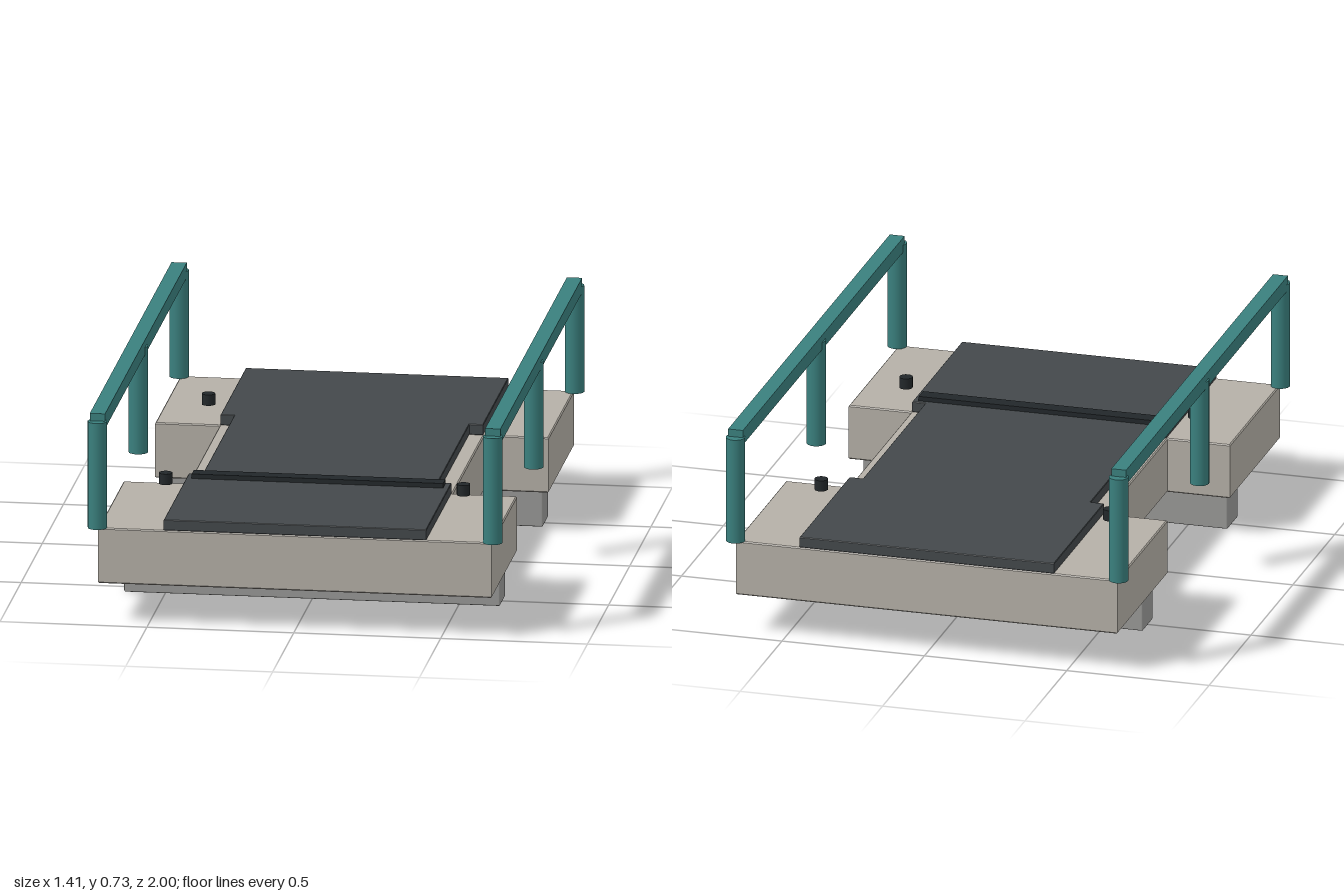
import * as THREE from 'three';
import { RoundedBoxGeometry } from 'three/addons/geometries/RoundedBoxGeometry.js';

const paint = (color) => new THREE.MeshStandardMaterial({ color });
const concrete = paint(0xb5b0a7);
const footing = paint(0x999997);
const asphalt = paint(0x43484b);
const rubber = paint(0x22272a);
const steel = paint(0x3a807e);

function add(parent, name, geometry, material, x, y, z) {
  const mesh = new THREE.Mesh(geometry, material);
  mesh.name = name;
  mesh.position.set(x, y, z);
  parent.add(mesh);
  return mesh;
}

// I-shaped slab lying flat: wide ends, narrow waist, slightly bevelled edges
function waistedSlab(endX, waistX, endZ, waistZ, y0, y1, bevel) {
  const e = endX - bevel, w = waistX - bevel, l = endZ - bevel, n = waistZ + bevel;
  const shape = new THREE.Shape([
    [-e, -l], [e, -l], [e, -n], [w, -n], [w, n], [e, n],
    [e, l], [-e, l], [-e, n], [-w, n], [-w, -n], [-e, -n],
  ].map(([x, z]) => new THREE.Vector2(x, z)));
  const geometry = new THREE.ExtrudeGeometry(shape, {
    depth: y1 - y0 - 2 * bevel, bevelThickness: bevel, bevelSize: bevel, bevelSegments: 1,
  });
  return geometry.rotateX(-Math.PI / 2).translate(0, y0 + bevel, 0);
}

export function createModel() {
  const model = new THREE.Group();
  model.name = 'footbridge';

  // Deck and road surface
  add(model, 'deck', waistedSlab(0.67, 0.45, 0.973, 0.374, 0.14, 0.333, 0.004), concrete, 0, 0, 0);
  add(model, 'roadSurface', waistedSlab(0.447, 0.4, 0.972, 0.374, 0.333, 0.37, 0.002), asphalt, 0, 0, 0);
  add(model, 'expansionStrip', new THREE.BoxGeometry(0.856, 0.018, 0.052), rubber, 0, 0.377, 0.415);

  // Footing beams under both ends
  for (const z of [-0.507, 0.507]) {
    add(model, 'footingBeam', new RoundedBoxGeometry(1.28, 0.14, 0.122, 1, 0.005), footing, 0, 0.07, z);
  }

  // Railings and anchor studs, mirrored left and right
  const post = new THREE.CylinderGeometry(0.033, 0.033, 0.372, 16);
  const stud = new THREE.CylinderGeometry(0.023, 0.023, 0.038, 16);
  for (const side of [-1, 1]) {
    const railing = new THREE.Group();
    railing.name = side > 0 ? 'leftRailing' : 'rightRailing';
    for (const z of [-0.967, 0, 0.967]) {
      add(railing, 'post', post, steel, side * 0.673, 0.519, z);
    }
    add(railing, 'handrail', new THREE.BoxGeometry(0.052, 0.052, 1.934), steel, side * 0.673, 0.705, 0);
    model.add(railing);
    for (const z of [-0.507, 0.507]) {
      add(model, 'anchorStud', stud, rubber, side * 0.507, 0.387, z);
    }
  }
  return model;
}
